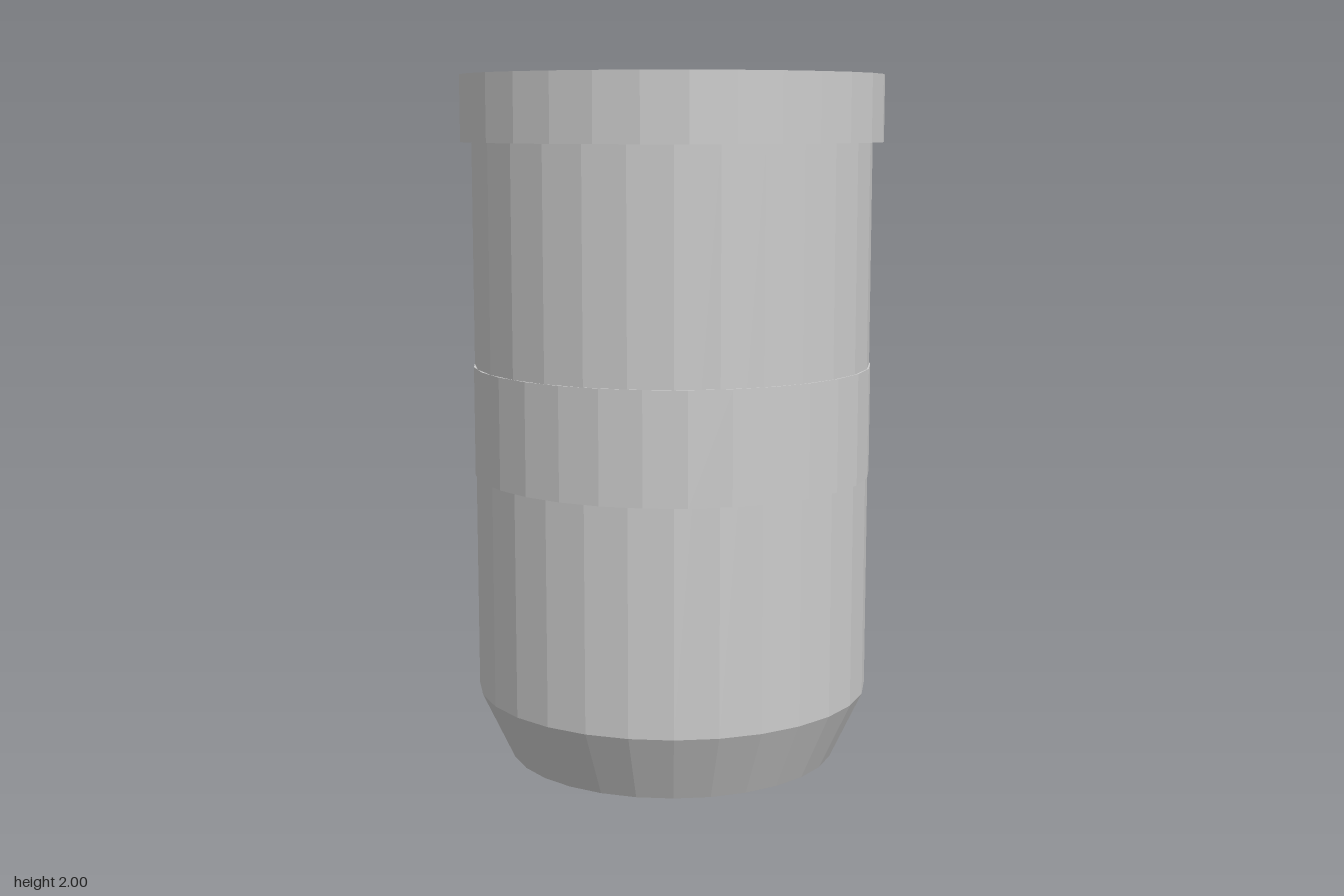
import * as THREE from 'three';

const material = new THREE.MeshStandardMaterial({ color: 0xcccccc, flatShading: true });

// Faceted, closed ring section between two heights, with a corner on +x
function section(name, rTop, rBottom, y0, y1, sides, open = false) {
  const geometry = new THREE.CylinderGeometry(rTop, rBottom, y1 - y0, sides, 1, open, Math.PI / 2);
  geometry.translate(0, (y0 + y1) / 2, 0);
  const mesh = new THREE.Mesh(geometry, material);
  mesh.name = name;
  return mesh;
}

export function createModel() {
  const group = new THREE.Group();
  group.name = 'canister';
  group.add(
    section('taperedBase', 0.579, 0.485, 0, 0.2, 29),
    section('body', 0.579, 0.579, 0.2, 1.82, 29),
    // Thin band wrapped round the middle
    section('middleBand', 0.583, 0.583, 0.845, 1.165, 30),
    // Wider flat cap
    section('cap', 0.612, 0.612, 1.81, 2, 30)
  );
  return group;
}
